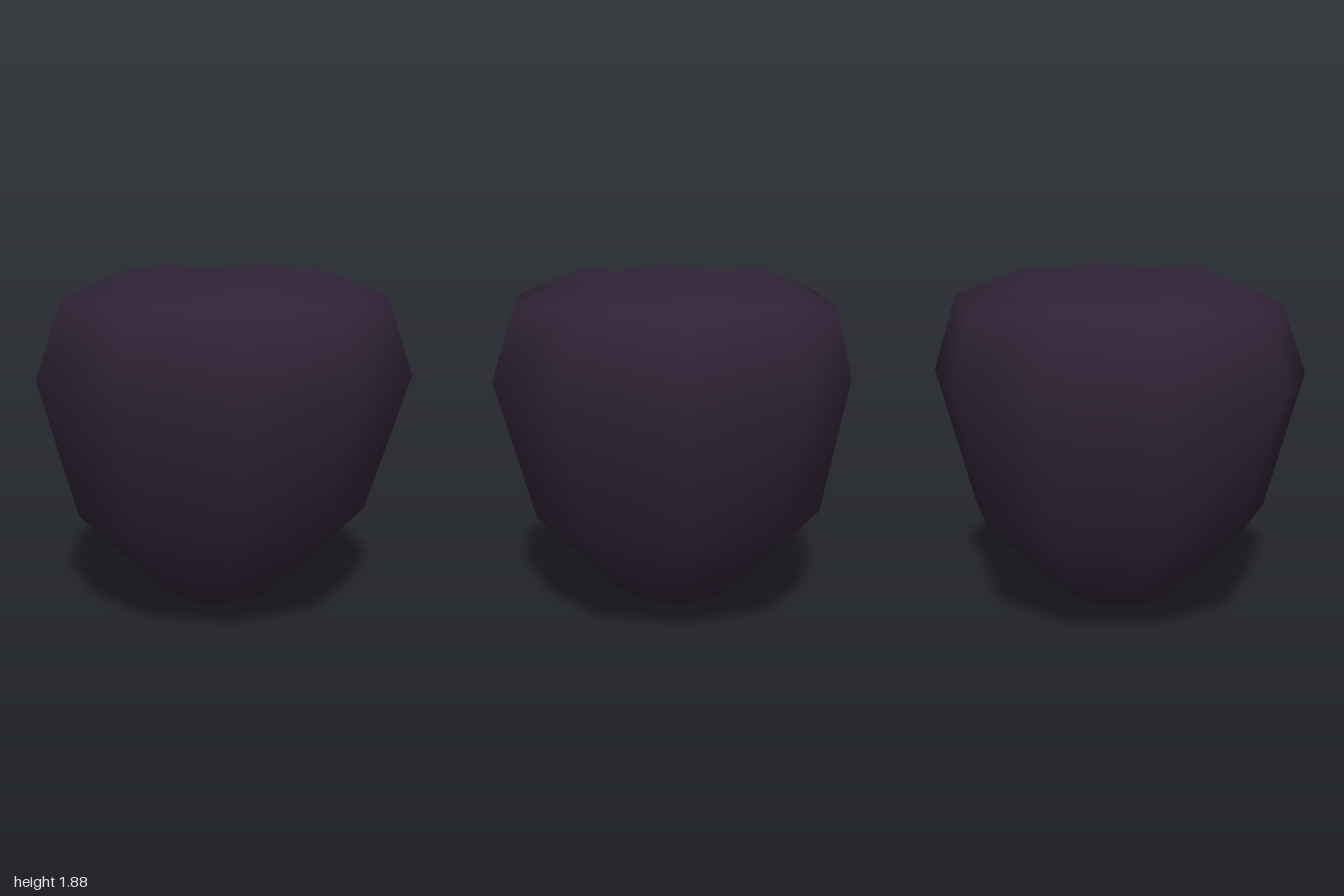
import * as THREE from 'three';

const SIDES = 10;

// Rings from the pointed foot up over the shoulder and rim, then down into the hollow top.
// x/z: ring centre, r: radius, y: height; lift and bulge apply to every second corner.
const RINGS = [
  { y: 0.12, r: 0.32, x: -0.035, z: 0.01, lift: 0, bulge: 0 },
  { y: 0.6, r: 0.79, x: -0.035, z: 0, lift: 0, bulge: 0.005 },
  { y: 1.325, r: 0.975, x: 0, z: 0, lift: 0, bulge: 0.025 },
  { y: 1.69, r: 0.86, x: -0.015, z: 0, lift: 0.04, bulge: 0.01 },
  { y: 1.84, r: 0.5, x: -0.02, z: 0, lift: 0.035, bulge: 0 },
];
// Small unevenness of the widest ring, corner by corner
const WOBBLE = [0, -0.02, -0.01, -0.01, 0.01, 0.015, 0.02, 0.015, 0.01, -0.02];

function bodyGeometry() {
  const pos = [];
  const index = [];
  RINGS.forEach((ring, level) => {
    for (let k = 0; k < SIDES; k++) {
      const a = (k / SIDES) * Math.PI * 2;
      const even = k % 2 === 0 ? 1 : 0;
      const r = ring.r + ring.bulge * even + (level === 2 ? WOBBLE[k] : 0);
      pos.push(ring.x + r * Math.sin(a), ring.y + ring.lift * even, ring.z - r * Math.cos(a));
    }
  });
  const foot = RINGS.length * SIDES;
  const hollow = foot + 1;
  pos.push(-0.04, 0, 0.05, -0.02, 1.6, 0);

  const last = (RINGS.length - 1) * SIDES;
  for (let k = 0; k < SIDES; k++) {
    const n = (k + 1) % SIDES;
    index.push(foot, k, n);
    for (let i = 0; i < last; i += SIDES) {
      const a = i + k, b = i + n, c = b + SIDES, d = a + SIDES;
      index.push(b, a, d, b, d, c);
    }
    index.push(last + n, last + k, hollow);
  }

  const geo = new THREE.BufferGeometry();
  geo.setAttribute('position', new THREE.Float32BufferAttribute(pos, 3));
  geo.setIndex(index);
  geo.computeVertexNormals();
  return geo;
}

export function createModel() {
  const group = new THREE.Group();
  group.name = 'fruit';

  const skin = new THREE.MeshStandardMaterial({ color: 0x2f2336 });
  skin.name = 'dark purple skin';

  const body = new THREE.Mesh(bodyGeometry(), skin);
  body.name = 'fruitBody';
  group.add(body);
  return group;
}
